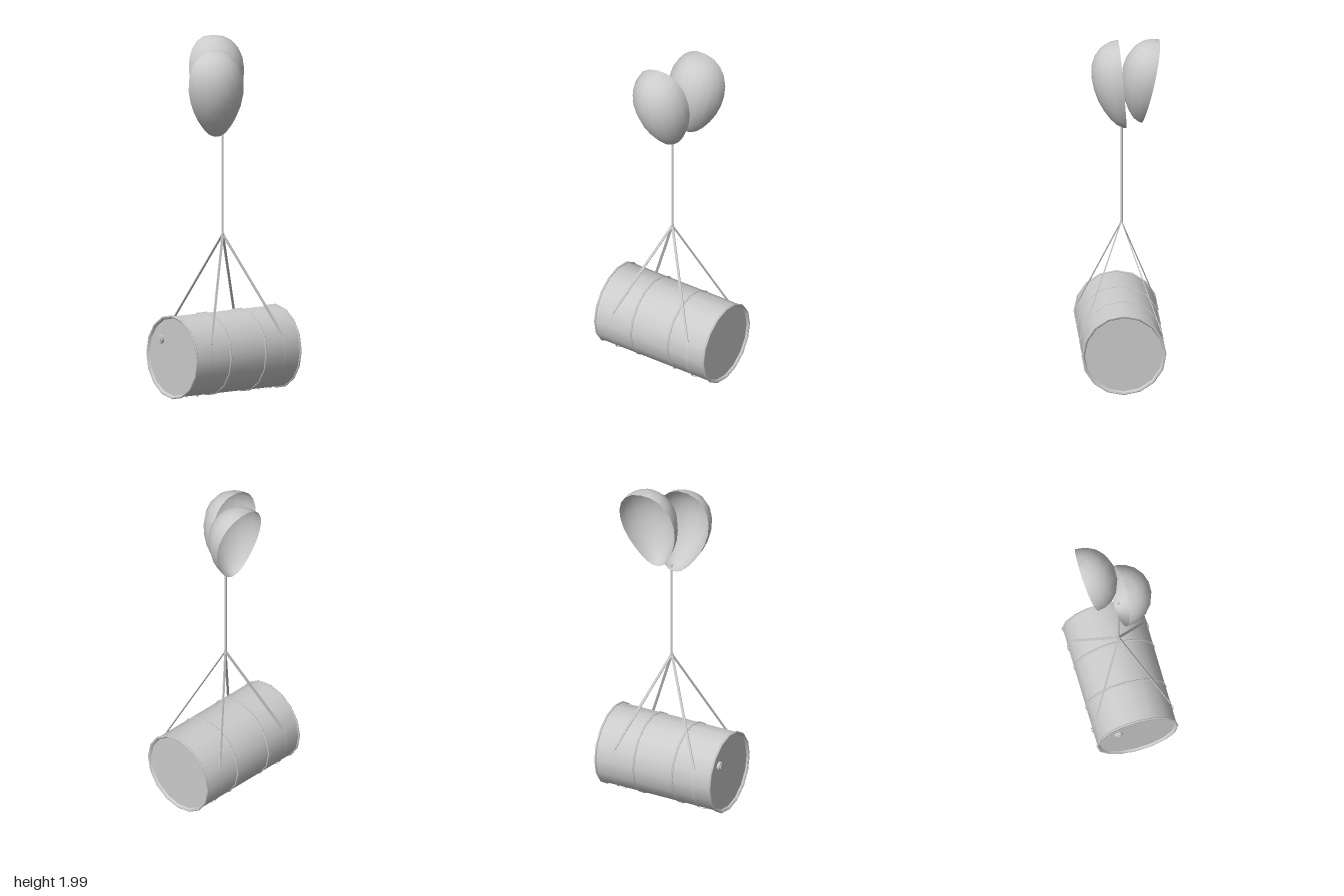
import * as THREE from 'three';
import { toCreasedNormals } from 'three/addons/utils/BufferGeometryUtils.js';

const SIDES = 16;
const AXIS_Y = 0.243; // height of the barrel's axis

export function createModel() {
  const model = new THREE.Group();
  model.name = 'balloonsCarryingBarrel';
  const solid = new THREE.MeshStandardMaterial({ color: 0xcccccc });
  const thin = new THREE.MeshStandardMaterial({ color: 0xcccccc, side: THREE.DoubleSide });

  const add = (name, geometry, material, parent = model) => {
    const mesh = new THREE.Mesh(geometry, material);
    mesh.name = name;
    parent.add(mesh);
    return mesh;
  };

  // Barrel, lying along x, with slightly recessed lids inside raised rims
  const barrel = new THREE.Group();
  barrel.name = 'barrel';
  barrel.position.set(0.003, AXIS_Y, -0.002);
  model.add(barrel);
  const half = [[0, 0.354], [0.218, 0.354], [0.224, 0.363], [0.23, 0.363]];
  const profile = [
    ...half.map(([r, h]) => new THREE.Vector2(r, -h)),
    ...half.slice().reverse().map(([r, h]) => new THREE.Vector2(r, h)),
  ];
  const body = toCreasedNormals(new THREE.LatheGeometry(profile, SIDES), 0.6);
  add('barrelBody', body, solid, barrel).rotation.z = Math.PI / 2;

  // End rims and the two rolling hoops
  for (const [name, x, r] of [['endRim', 0.361, 0.231], ['hoop', 0.122, 0.23]]) {
    for (const side of [-1, 1]) {
      const ring = add(name, new THREE.TorusGeometry(r, 0.006, 6, SIDES), solid, barrel);
      ring.rotation.y = Math.PI / 2;
      ring.position.x = side * x;
    }
  }

  // Bung on one lid
  for (const [r, len, x] of [[0.025, 0.016, -0.362], [0.016, 0.02, -0.365]]) {
    const bung = add('bung', toCreasedNormals(new THREE.CylinderGeometry(r, r, len, 10), 0.7), solid, barrel);
    bung.rotation.z = Math.PI / 2;
    bung.position.set(x, 0.09, -0.108);
  }

  // Two slings: a band under the barrel, and flat straps rising to the knot
  const knot = new THREE.Vector3(0, 0.905, -0.01);
  const bandR = 0.237;
  const leave = Math.PI / 8; // angle where the strap leaves the barrel
  for (const sx of [-1, 1]) {
    const band = add('slingBand',
      new THREE.CylinderGeometry(bandR, bandR, 0.012, 10, 1, true, Math.PI - leave, Math.PI + 2 * leave), thin);
    band.rotation.z = Math.PI / 2;
    band.position.set(sx * 0.252, AXIS_Y, -0.002);
    for (const sz of [-1, 1]) {
      const foot = new THREE.Vector3(sx * 0.252, AXIS_Y + bandR * Math.sin(leave), sz * bandR * Math.cos(leave));
      const along = knot.clone().sub(foot);
      const length = along.length();
      along.normalize();
      const normal = new THREE.Vector3(1, 0, 0).cross(along).normalize();
      const across = along.clone().cross(normal);
      const strap = add('slingStrap', new THREE.BoxGeometry(0.014, length, 0.005), solid);
      strap.quaternion.setFromRotationMatrix(new THREE.Matrix4().makeBasis(across, along, normal));
      strap.position.copy(foot).add(knot).multiplyScalar(0.5);
    }
  }

  // Knot and the string up to the balloons
  add('knot', new THREE.SphereGeometry(0.009, 8, 6), solid).position.copy(knot);
  const string = add('string', new THREE.CylinderGeometry(0.0065, 0.0065, 0.58, 8), solid);
  string.position.set(0, 1.19, -0.012);

  // Balloons: open half shells of an egg shape, standing on their narrow ends
  const egg = [[0, 0], [0.025, 0.003], [0.055, 0.022], [0.087, 0.06], [0.118, 0.11], [0.146, 0.17],
    [0.164, 0.235], [0.171, 0.3], [0.164, 0.365], [0.142, 0.42], [0.107, 0.462], [0.06, 0.488], [0, 0.497]]
    .map(([r, y]) => new THREE.Vector2(r, y));
  const shell = new THREE.LatheGeometry(egg, 9, -Math.PI / 2, Math.PI);
  const front = add('frontBalloon', shell, thin);
  front.position.set(-0.018, 1.455, -0.04);
  front.rotation.set(0.083, 0, 0.15);
  const back = add('backBalloon', shell, thin);
  back.position.set(0.035, 1.51, -0.12);
  back.rotation.set(-0.204, 0, -0.1);

  return model;
}
